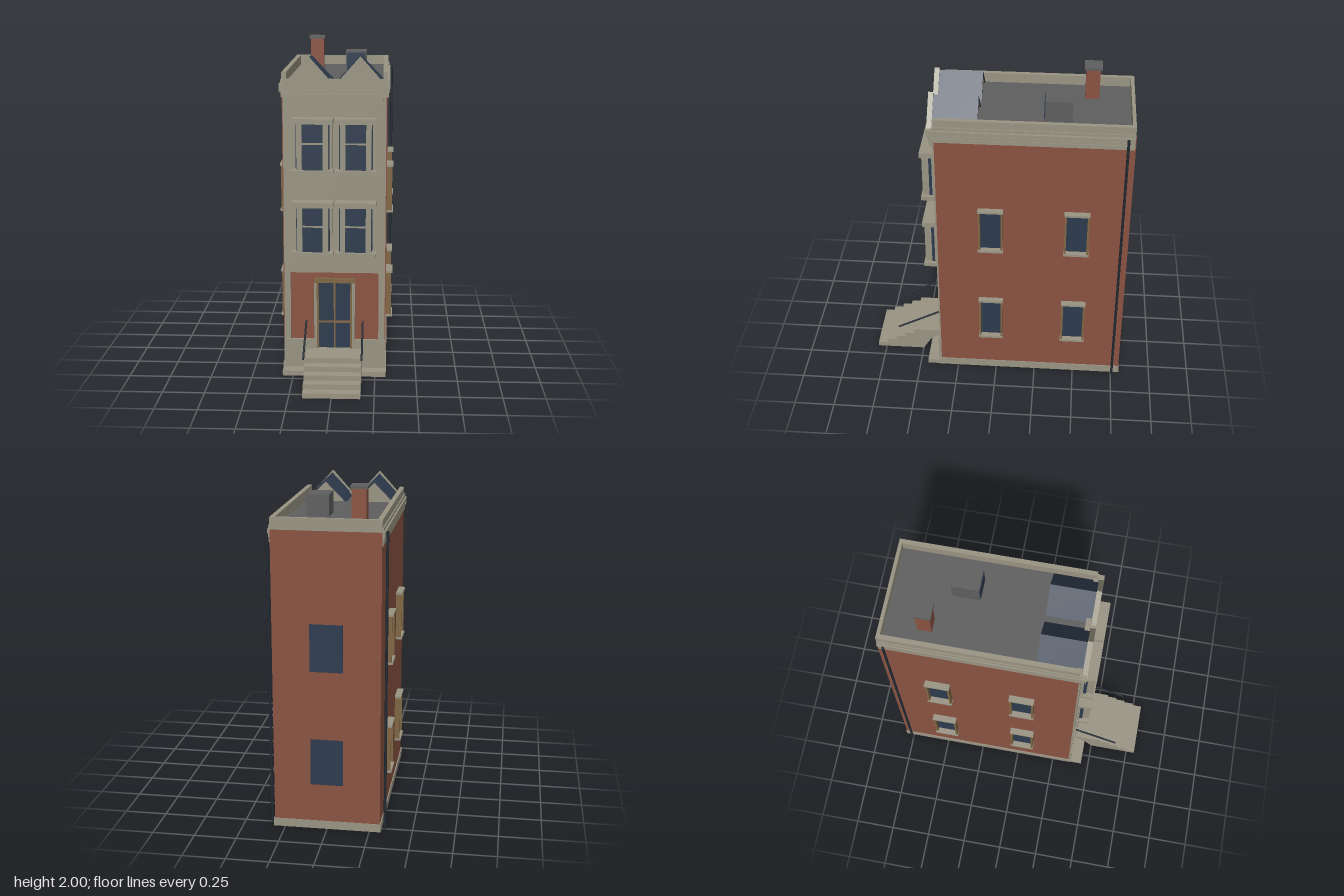
import * as THREE from 'three';

const mat = (name, color) => {
  const m = new THREE.MeshStandardMaterial({ color });
  m.name = name;
  return m;
};

export function createModel() {
  const root = new THREE.Group();
  root.name = 'townhouse';
  const stone = mat('stone', 0x999483);
  const brick = mat('brick', 0x8a5341);
  const glass = mat('blue glass', 0x2d3b4e);
  const wood = mat('tan wood', 0x806744);
  const roofing = mat('grey roofing', 0x5f5f5f);
  const iron = mat('dark iron', 0x232a33);

  const add = (name, geo, material, parent = root) => {
    const mesh = new THREE.Mesh(geo, material);
    mesh.name = name;
    parent.add(mesh);
    return mesh;
  };
  // box given by its limits on each axis
  const box = (name, m, x0, x1, y0, y1, z0, z1, parent = root) => {
    const mesh = add(name, new THREE.BoxGeometry(x1 - x0, y1 - y0, z1 - z0), m, parent);
    mesh.position.set((x0 + x1) / 2, (y0 + y1) / 2, (z0 + z1) / 2);
    return mesh;
  };
  const group = (name, x = 0, y = 0, z = 0) => {
    const g = new THREE.Group();
    g.name = name;
    g.position.set(x, y, z);
    root.add(g);
    return g;
  };
  const extrude = (points, depth) => new THREE.ExtrudeGeometry(
    new THREE.Shape(points.map(p => new THREE.Vector2(...p))), { depth, bevelEnabled: false });

  // Main body and plinth
  box('brickBody', brick, -0.312, 0.312, 0.03, 1.78, -0.8, 0.36);
  box('plinth', stone, -0.318, 0.318, 0, 0.05, -0.803, 0.37);
  box('frontPlinth', stone, -0.315, 0.315, 0, 0.03, 0.36, 0.45);

  // Stone facade around the brick entrance panel
  box('facadeUpper', stone, -0.306, 0.306, 0.635, 1.78, 0.355, 0.37);
  for (const s of [-1, 1]) {
    const a = s < 0 ? -0.306 : 0.268, b = s < 0 ? -0.268 : 0.306;
    box('facadePier', stone, a, b, 0.05, 0.635, 0.355, 0.37);
    box('facadeBase', stone, s < 0 ? -0.31 : 0.12, s < 0 ? -0.12 : 0.31, 0.03, 0.21, 0.355, 0.378);
  }

  // Side cornice bands, parapet and flat roof
  for (const s of [-1, 1]) {
    const band = (name, x0, x1, y0, y1, z1) =>
      box(name, stone, Math.min(s * x0, s * x1), Math.max(s * x0, s * x1), y0, y1, -0.795, z1);
    band('parapetSide', 0.285, 0.313, 1.78, 1.85, 0.36);
    band('corniceBand', 0.3, 0.318, 1.705, 1.73, 0.375);
    band('corniceBand', 0.3, 0.322, 1.735, 1.752, 0.38);
    band('corniceBand', 0.3, 0.327, 1.757, 1.782, 0.385);
    band('corniceBand', 0.3, 0.32, 1.787, 1.805, 0.37);
  }
  box('parapetBack', stone, -0.313, 0.313, 1.78, 1.85, -0.796, -0.775);
  box('parapetFront', stone, -0.3, 0.3, 1.78, 1.81, 0.34, 0.37);
  box('flatRoof', roofing, -0.286, 0.286, 1.775, 1.79, -0.776, 0.345);

  // Front cornice with dentils
  box('frontCornice', stone, -0.312, 0.312, 1.705, 1.73, 0.36, 0.39);
  box('frontCornice', stone, -0.322, 0.322, 1.735, 1.752, 0.36, 0.395);
  box('frontCornice', stone, -0.315, 0.315, 1.757, 1.78, 0.36, 0.385);
  for (let i = 0; i < 12; i++) {
    const x = -0.275 + i * 0.05;
    box('dentil', stone, x - 0.011, x + 0.011, 1.66, 1.705, 0.36, 0.39);
  }
  for (const x of [-0.3, 0, 0.3])
    box('corniceBlock', stone, x - 0.026, x + 0.026, 1.74, 1.785, 0.345, 0.4);

  // Twin gables: stone end wall, slate roof slopes and raking trim
  for (const s of [-1, 1]) {
    const g = group('gable', s * 0.152, 0, 0);
    add('gableWall', extrude([[-0.135, 1.78], [0.135, 1.78], [0, 1.91]], 0.255), stone, g).position.z = 0.115;
    add('gableRoof', extrude([[-0.138, 1.785], [-0.124, 1.785], [0, 1.91], [0.124, 1.785],
      [0.138, 1.785], [0, 1.93]], 0.275), glass, g).position.z = 0.11;
    add('rakeTrim', extrude([[-0.158, 1.745], [-0.118, 1.755], [0, 1.905], [0.118, 1.755],
      [0.158, 1.745], [0.158, 1.768], [0, 1.945], [-0.158, 1.768]], 0.03), stone, g).position.z = 0.372;
  }

  // Projecting bay windows, two per upper floor
  for (const y of [0.755, 1.255]) for (const x of [-0.128, 0.128]) {
    const g = group('bayWindow', x, y, 0);
    box('baySill', stone, -0.122, 0.122, 0, 0.025, 0.36, 0.458, g);
    box('bayCap', stone, -0.122, 0.122, 0.3, 0.332, 0.36, 0.46, g);
    box('bayGlass', glass, -0.1, 0.1, 0.025, 0.3, 0.36, 0.408, g);
    box('frontGlass', glass, -0.065, 0.065, 0.025, 0.3, 0.4, 0.435, g);
    box('sashBar', stone, -0.062, 0.062, 0.178, 0.188, 0.43, 0.442, g);
    for (const s of [-1, 1]) {
      box('bayPost', stone, s * 0.077 - 0.016, s * 0.077 + 0.016, 0.025, 0.3, 0.405, 0.45, g);
      box('bayTrim', stone, s * 0.107 - 0.008, s * 0.107 + 0.008, 0.025, 0.3, 0.36, 0.388, g);
    }
  }

  // Entrance
  const door = group('entrance');
  box('doorGlass', glass, -0.105, 0.105, 0.155, 0.575, 0.355, 0.368, door);
  box('doorHeader', wood, -0.125, 0.125, 0.575, 0.6, 0.355, 0.39, door);
  box('doorStile', wood, -0.005, 0.005, 0.155, 0.575, 0.36, 0.374, door);
  box('doorRail', wood, -0.105, 0.105, 0.318, 0.33, 0.36, 0.375, door);
  box('doorSill', stone, -0.12, 0.12, 0.03, 0.156, 0.355, 0.39, door);
  for (const s of [-1, 1]) {
    box('doorPost', stone, s * 0.116 - 0.008, s * 0.116 + 0.008, 0.155, 0.575, 0.355, 0.388, door);
    box('doorJamb', wood, s * 0.102 - 0.006, s * 0.102 + 0.006, 0.155, 0.575, 0.355, 0.384, door);
  }

  // Stair: stepped side profile swept across the width
  const steps = [[0.39, 0.12], [0.45, 0.08], [0.5, 0], [0.805, 0]];
  for (let i = 0; i < 5; i++) {
    const y = 0.031 * (i + 1);
    steps.push([0.805 - 0.062 * i, y], [i < 4 ? 0.743 - 0.062 * i : 0.39, y]);
  }
  const stair = add('frontSteps', extrude(steps, 0.34), stone);
  stair.rotation.y = -Math.PI / 2;
  stair.position.x = 0.17;

  // Handrails and downpipes
  for (const s of [-1, 1]) {
    const rail = new THREE.LineCurve3(new THREE.Vector3(s * 0.173, 0.178, 0.66), new THREE.Vector3(s * 0.173, 0.328, 0.375));
    add('handrail', new THREE.TubeGeometry(rail, 1, 0.006, 8), iron);
    add('downpipe', new THREE.CylinderGeometry(0.008, 0.008, 1.775, 8), iron).position.set(s * 0.337, 0.893, -0.756);
  }

  // Side windows, mirrored, with deep wooden jambs
  for (const s of [-1, 1]) for (const y of [0.28, 0.96]) for (const z of [0.033, -0.487]) {
    const g = group('sideWindow', s * 0.312, y, z);
    if (s < 0) g.rotation.y = Math.PI;
    box('sideGlass', glass, -0.005, 0.004, 0, 0.29, -0.07, 0.07, g);
    box('sideSill', stone, -0.002, 0.04, -0.005, 0.009, -0.077, 0.077, g);
    box('sideLintel', stone, -0.002, 0.04, 0.283, 0.296, -0.077, 0.077, g);
    for (const k of [-1, 1])
      box('sideJamb', wood, -0.002, 0.033, 0.009, 0.283, k * 0.068 - 0.006, k * 0.068 + 0.006, g);
  }

  // Back windows
  for (const y of [0.28, 0.97])
    box('backGlass', glass, -0.095, 0.095, y, y + 0.28, -0.804, -0.798);

  // Chimney and roof unit
  box('chimney', brick, -0.197, -0.113, 1.78, 1.985, -0.587, -0.503);
  box('chimneyCap', roofing, -0.206, -0.104, 1.983, 2, -0.598, -0.493);
  box('roofUnit', roofing, 0.042, 0.174, 1.785, 1.92, -0.435, -0.275);
  box('roofUnitGrille', glass, 0.05, 0.166, 1.8, 1.91, -0.276, -0.269);
  return root;
}
